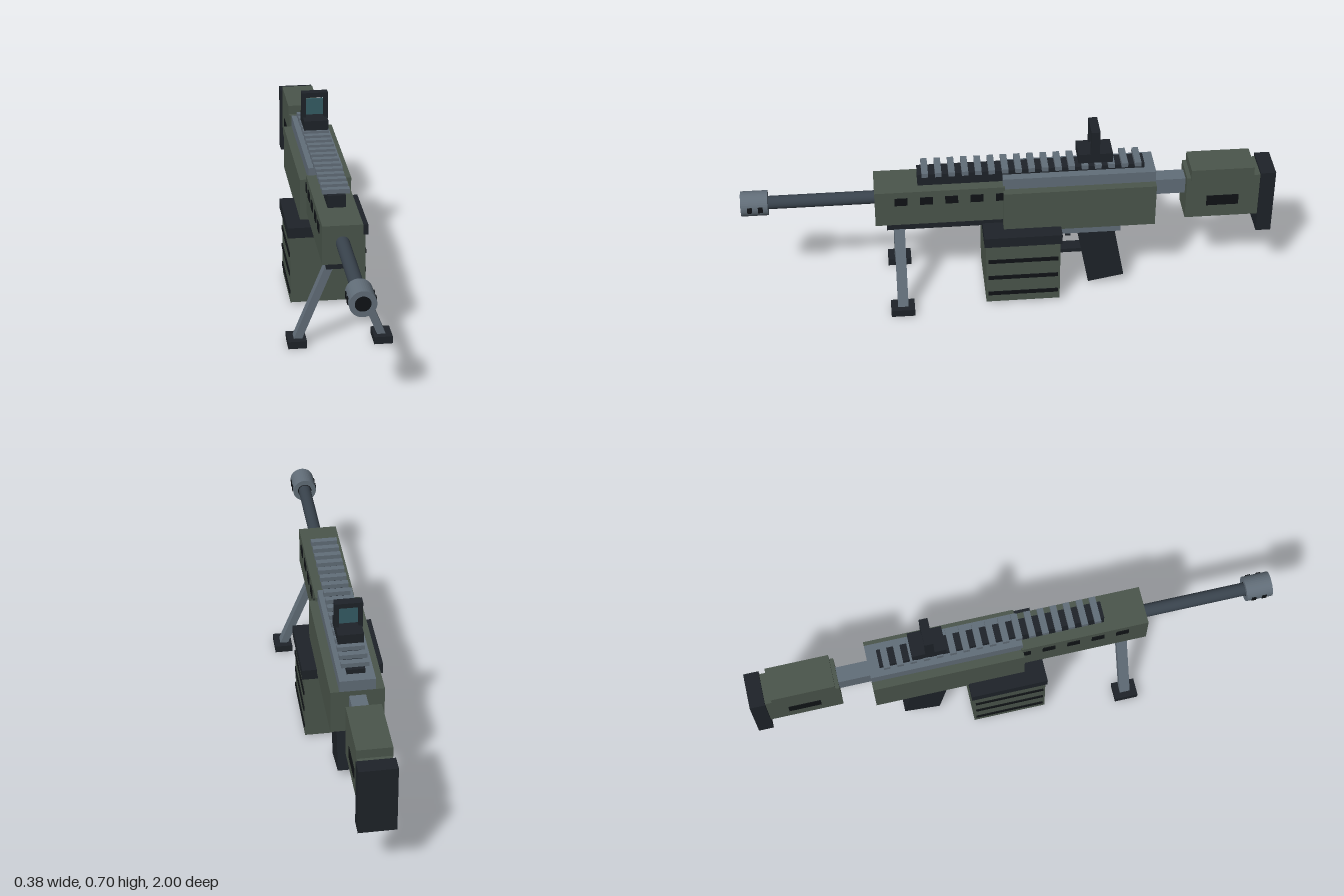
import * as THREE from 'three';

const mat = (color) => new THREE.MeshStandardMaterial({ color });

export function createModel() {
  const model = new THREE.Group();
  const green = mat(0x4b564c), grey = mat(0x626e79), dark = mat(0x1e2329);
  const steel = mat(0x39434d), black = mat(0x101316), glass = mat(0x355d65);

  const add = (name, geometry, material, x = 0, y = 0, z = 0) => {
    const mesh = new THREE.Mesh(geometry, material);
    mesh.name = name;
    mesh.position.set(x, y, z);
    model.add(mesh);
    return mesh;
  };
  // Box centred on x = cx, given by half width and its y and z limits
  const block = (name, material, hw, y0, y1, z0, z1, cx = 0) =>
    add(name, new THREE.BoxGeometry(hw * 2, y1 - y0, z1 - z0), material, cx, (y0 + y1) / 2, (z0 + z1) / 2);
  // Cylinder along z
  const rod = (name, material, r, z0, z1, sides = 20) =>
    add(name, new THREE.CylinderGeometry(r, r, z1 - z0, sides).rotateX(Math.PI / 2), material, 0, 0.43, (z0 + z1) / 2);

  // Receiver and handguard
  block('receiver', green, 0.097, 0.305, 0.48, -0.545, 0.027);
  block('upperReceiver', grey, 0.065, 0.46, 0.525, -0.545, 0.027);
  block('handguard', green, 0.073, 0.348, 0.496, 0.02, 0.505);
  block('handguardUnderside', dark, 0.053, 0.31, 0.349, 0.02, 0.463);
  for (let i = 0; i < 5; i++) {
    const z = 0.407 - i * 0.094;
    block('handguardVent', black, 0.0765, 0.438, 0.47, z - 0.024, z + 0.024);
  }

  // Barrel and muzzle brake
  rod('barrel', steel, 0.025, 0.49, 0.91);
  const ring = new THREE.Shape().absarc(0, 0, 0.047, 0, Math.PI * 2);
  ring.holes.push(new THREE.Path().absarc(0, 0, 0.028, 0, Math.PI * 2));
  add('muzzleBrake', new THREE.ExtrudeGeometry(ring, { depth: 0.1, bevelEnabled: false, curveSegments: 20 }),
    grey, 0, 0.43, 0.9);
  rod('bore', black, 0.0285, 0.901, 0.998);
  for (const z of [0.967, 0.927])
    for (const s of [-1, 1])
      block('muzzlePort', black, 0.006, 0.419, 0.442, z - 0.009, z + 0.009, s * 0.043);

  // Top rail
  block('railBase', dark, 0.033, 0.49, 0.543, -0.505, 0.343);
  for (let i = 0; i < 17; i++) {
    const z = 0.315 - i * 0.0496;
    block('railTooth', grey, 0.05, 0.542, 0.56, z - 0.012, z + 0.012);
  }

  // Framed sight
  block('sightBase', dark, 0.047, 0.568, 0.606, -0.383, -0.255);
  const frame = new THREE.Group();
  frame.name = 'sightFrame';
  model.add(frame);
  for (const s of [-1, 1])
    frame.add(block('sightPost', dark, 0.008, 0.6, 0.695, -0.333, -0.3, s * 0.043));
  frame.add(block('sightTop', dark, 0.051, 0.686, 0.705, -0.333, -0.3));
  block('sightLens', glass, 0.034, 0.613, 0.677, -0.32, -0.313);

  // Box magazine with side ribs
  block('magazine', green, 0.143, 0.009, 0.28, -0.183, 0.098);
  block('magazineCollar', dark, 0.152, 0.277, 0.318, -0.189, 0.104);
  for (const y of [0.203, 0.126, 0.05])
    block('magazineRib', black, 0.147, y - 0.008, y + 0.008, -0.175, 0.09);

  // Grip, trigger and guard
  block('gripFrame', grey, 0.065, 0.257, 0.306, -0.42, -0.18);
  add('grip', new THREE.BoxGeometry(0.11, 0.27, 0.14), dark, 0, 0.155, -0.347).rotation.x = 0.19;
  block('triggerGuard', dark, 0.025, 0.135, 0.151, -0.3, -0.18);
  block('trigger', dark, 0.012, 0.205, 0.26, -0.236, -0.216);

  // Stock
  block('stockTube', grey, 0.03, 0.395, 0.46, -0.68, -0.53);
  block('stock', green, 0.06, 0.3, 0.482, -0.945, -0.665);
  block('cheekRest', green, 0.063, 0.47, 0.518, -0.918, -0.68);
  block('stockInset', black, 0.0625, 0.353, 0.397, -0.866, -0.744);
  block('buttPad', dark, 0.068, 0.225, 0.493, -1, -0.943);

  // Bipod
  for (const s of [-1, 1]) {
    const dx = 0.122, dy = 0.3;
    add('bipodLeg', new THREE.BoxGeometry(0.029, Math.hypot(dx, dy), 0.04), grey, s * 0.095, 0.17, 0.417)
      .rotation.z = s * Math.atan2(dx, dy);
    block('bipodFoot', dark, 0.034, 0, 0.028, 0.373, 0.463, s * 0.157);
  }
  return model;
}
